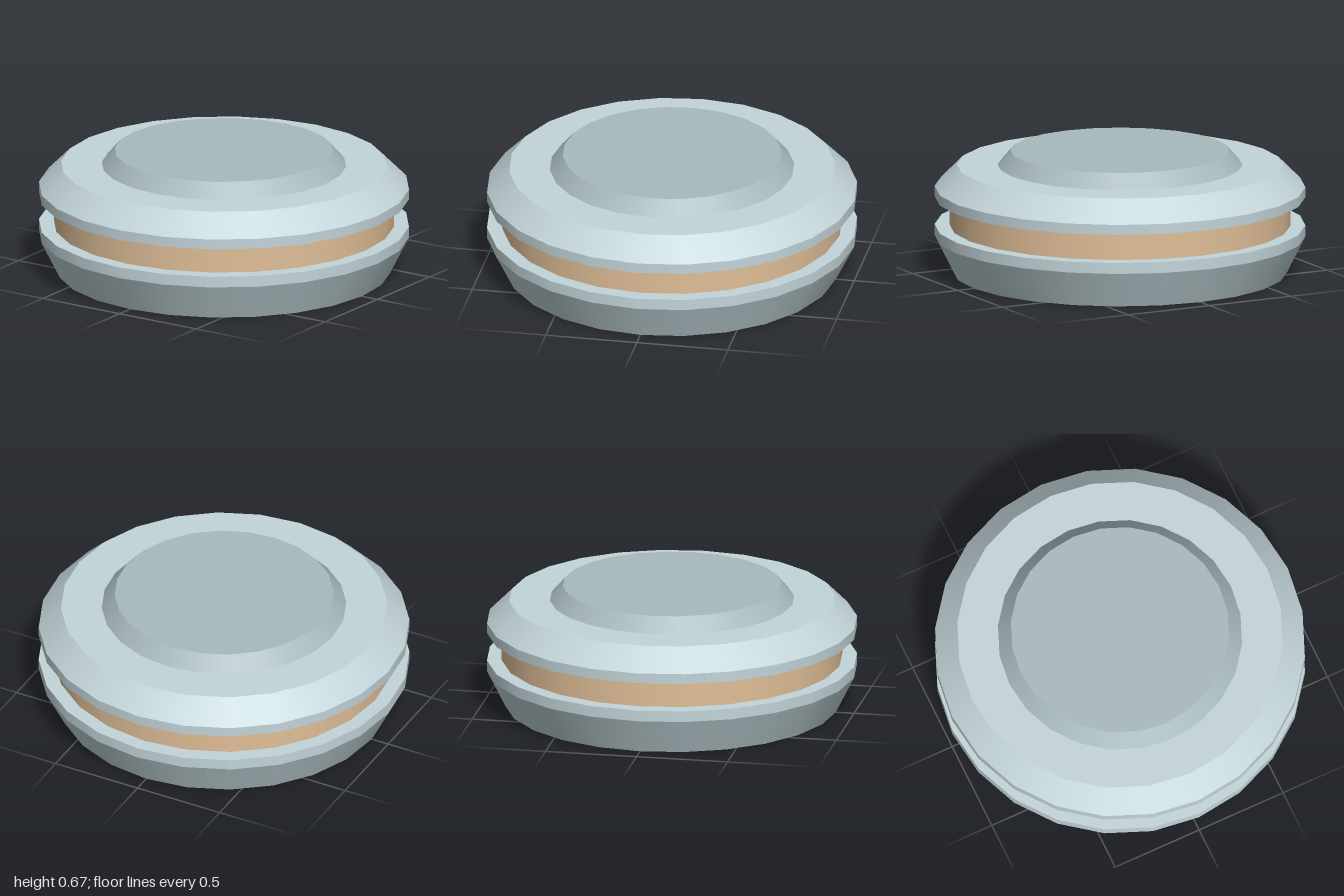
import * as THREE from 'three';
import { mergeGeometries } from 'three/addons/utils/BufferGeometryUtils.js';

const SIDES = 24;

// Turns a profile (bottom to top, [radius, height]) with smooth sides and sharp rims
function turned(name, color, profile) {
  const rings = [];
  for (let i = 0; i < profile.length - 1; i++) {
    const pair = [profile[i], profile[i + 1]].map(([r, y]) => new THREE.Vector2(r, y));
    rings.push(new THREE.LatheGeometry(pair, SIDES));
  }
  const mesh = new THREE.Mesh(mergeGeometries(rings), new THREE.MeshStandardMaterial({ color }));
  mesh.name = name;
  return mesh;
}

export function createModel() {
  const group = new THREE.Group();
  group.name = 'roundPuck';
  const shell = 0xc3d5da;

  group.add(
    // Flared lower shell with a flat underside
    turned('base', shell, [[0, 0], [0.9, 0], [1, 0.2], [1, 0.26], [0.92, 0.26]]),
    // Recessed band between the shells
    turned('band', 0xe0bf98, [[0.92, 0.26], [0.92, 0.415]]),
    // Bevelled upper shell
    turned('lid', shell, [[0.92, 0.415], [1, 0.415], [1, 0.47], [0.88, 0.59], [0.66, 0.59]]),
    // Raised centre button
    turned('button', 0xa8babe, [[0.66, 0.59], [0.59, 0.67], [0, 0.67]])
  );
  return group;
}
